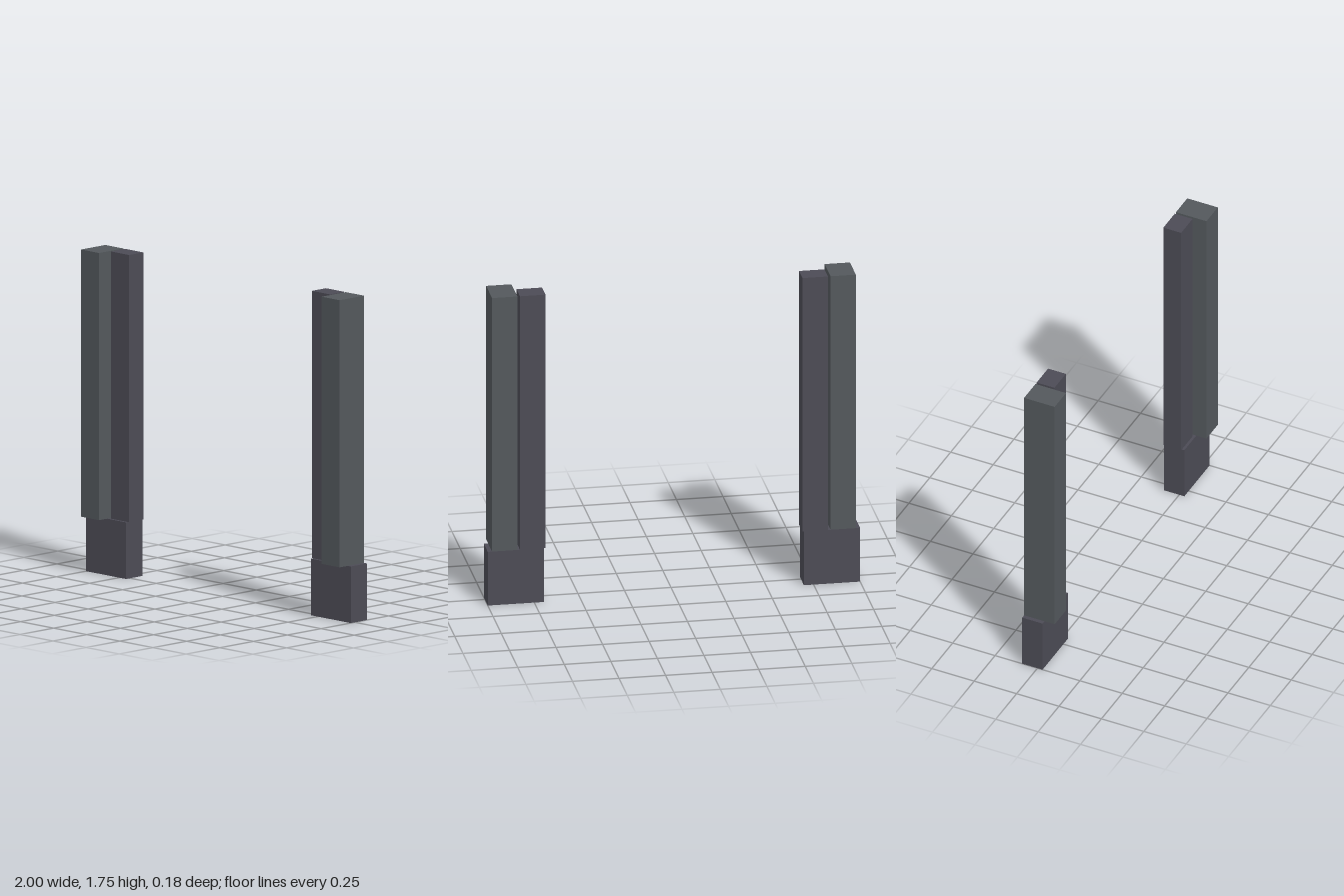
import * as THREE from 'three';

const BACK = -0.09;
const BASE_TOP = 0.305;
const TOP = 1.745;

const postMaterial = new THREE.MeshStandardMaterial({ color: 0x53585c });
const darkMaterial = new THREE.MeshStandardMaterial({ color: 0x4c4b55 });

// Box given by its extents; all parts share the same back plane
function block(name, x0, x1, y0, y1, front, material) {
  const mesh = new THREE.Mesh(new THREE.BoxGeometry(x1 - x0, y1 - y0, front - BACK), material);
  mesh.position.set((x0 + x1) / 2, (y0 + y1) / 2, (front + BACK) / 2);
  mesh.name = name;
  return mesh;
}

export function createModel() {
  const model = new THREE.Group();
  model.name = 'pillarPair';

  for (const side of [1, -1]) {
    const pillar = new THREE.Group();
    pillar.name = side > 0 ? 'leftPillar' : 'rightPillar';

    // Footing, deep outer post and shallow inner post with a narrow gap between
    pillar.add(
      block('base', 0.698, 1, 0, BASE_TOP, 0.03, darkMaterial),
      block('outerPost', 0.841, 0.977, BASE_TOP, TOP, 0.09, postMaterial),
      block('innerPost', 0.69, 0.827, BASE_TOP, TOP, 0.015, darkMaterial)
    );

    // Mirror by position only, since every part is a symmetric box
    for (const part of pillar.children) part.position.x *= side;
    model.add(pillar);
  }
  return model;
}
